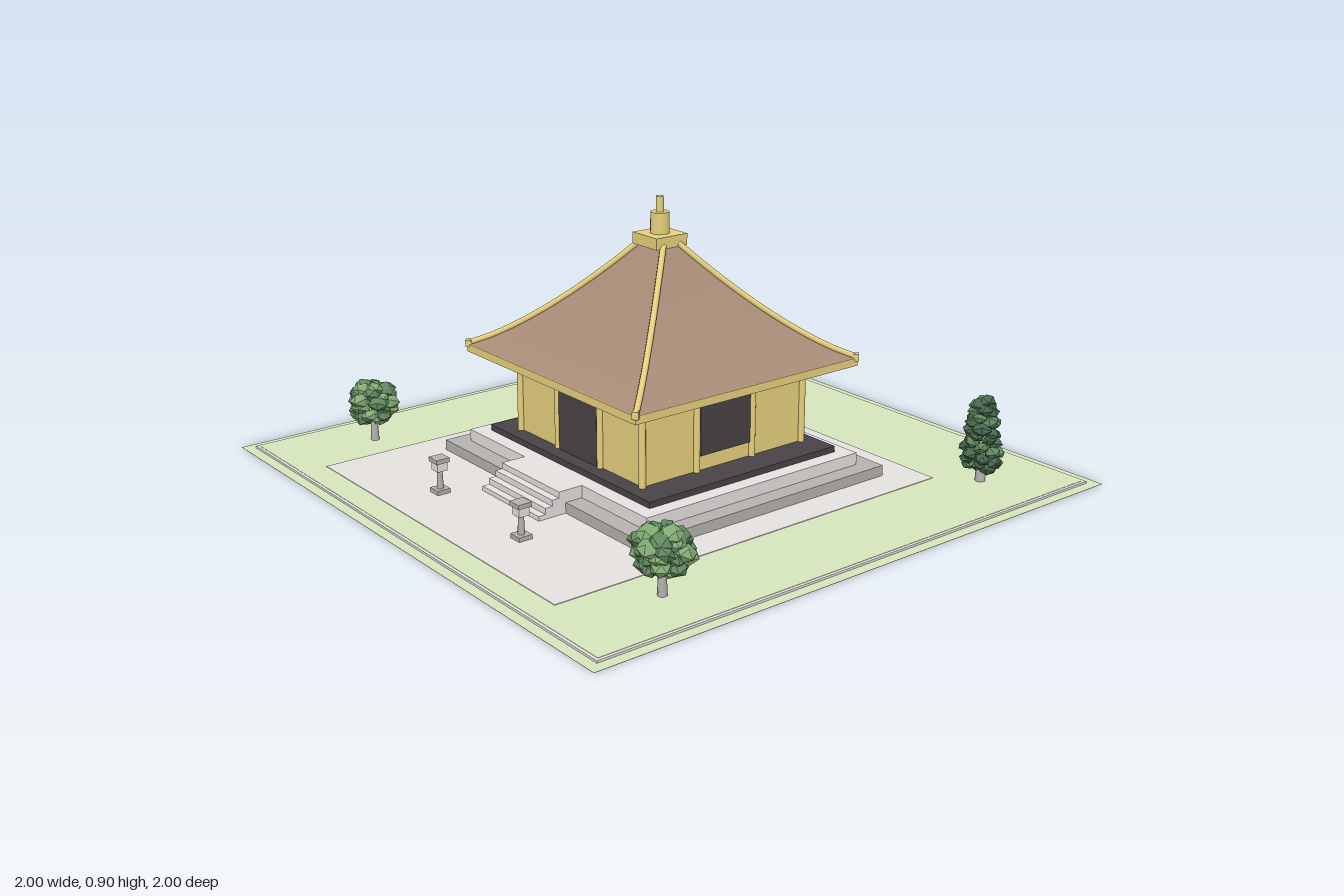
import * as THREE from 'three';
import { mergeGeometries } from 'three/addons/utils/BufferGeometryUtils.js';

const mat = (name, color, flat = false) => {
  const m = new THREE.MeshStandardMaterial({ color, flatShading: flat });
  m.name = name;
  return m;
};

function seeded(seed) {
  return () => {
    seed = (seed * 16807) % 2147483647;
    return seed / 2147483647;
  };
}

export function createModel() {
  const root = new THREE.Group();
  root.name = 'pavilionGarden';
  const grass = mat('grassGreen', 0xd6e6bc);
  const pale = mat('paleStone', 0xe5e2e0);
  const stone = mat('midStone', 0xb5b2af);
  const dark = mat('darkWood', 0x484346);
  const gold = mat('gold', 0xe8d27e);
  const roofMat = mat('roofBrown', 0xa88b78);
  const leafDark = mat('leafDark', 0x48694f, true);
  const leafMid = mat('leafMid', 0x5f895e, true);
  const leafLight = mat('leafLight', 0x82ab74, true);

  const add = (name, geo, m, x = 0, y = 0, z = 0, parent = root) => {
    const mesh = new THREE.Mesh(geo, m);
    mesh.name = name;
    mesh.position.set(x, y, z);
    parent.add(mesh);
    return mesh;
  };
  // Box given by its size in x and z, its bottom and its top
  const slab = (name, m, w, d, y0, y1, x = 0, z = 0, parent = root) =>
    add(name, new THREE.BoxGeometry(w, y1 - y0, d), m, x, (y0 + y1) / 2, z, parent);
  const drum = (name, m, r0, r1, y0, y1, x = 0, z = 0, parent = root, n = 16) =>
    add(name, new THREE.CylinderGeometry(r1, r0, y1 - y0, n), m, x, (y0 + y1) / 2, z, parent);

  // Ground: thin verge, pale kerb slab, raised lawn and paving
  slab('verge', grass, 2, 2, 0, 0.001);
  slab('kerb', pale, 1.93, 1.93, 0, 0.008);
  slab('lawn', grass, 1.91, 1.91, 0.002, 0.009);
  slab('paving', pale, 1.29, 1.47, 0.004, 0.011, 0, 0.135);

  // Stepped base and stairs
  slab('lowerPlinth', stone, 1.066, 0.972, 0.005, 0.046);
  slab('upperPlinth', pale, 0.95, 0.85, 0.046, 0.086);
  slab('floor', dark, 0.85, 0.75, 0.086, 0.106);
  for (let i = 0; i < 4; i++) {
    const z1 = 0.51 + i * 0.025;
    slab('stairStep', pale, 0.31, z1 - 0.4, 0.008, 0.086 - i * 0.02, 0, (z1 + 0.4) / 2);
  }

  // Walls, posts, beams and openings
  slab('walls', gold, 0.64, 0.64, 0.106, 0.37);
  const sides = [0, 1, 2, 3];
  for (const k of sides) {
    const side = new THREE.Group();
    side.name = 'wallSide';
    side.rotation.y = k * Math.PI / 2;
    root.add(side);
    for (const x of [-0.323, -0.112, 0.112])
      drum('post', gold, 0.011, 0.011, 0.106, 0.37, x, 0.323, side, 12);
    slab('wallBeam', gold, 0.65, 0.012, 0.358, 0.37, 0, 0.32, side);
    if (k === 0) slab('door', dark, 0.2, 0.009, 0.106, 0.347, 0, 0.324, side);
    if (k % 2 === 1) slab('window', dark, 0.2, 0.009, 0.155, 0.335, 0, 0.324, side);
  }

  // Sweeping roof: four curved faces rising from the eaves
  slab('eaves', gold, 0.894, 0.886, 0.368, 0.394);
  const rows = 8;
  const corners = [[-1, 1], [1, 1], [1, -1], [-1, -1]];
  const hipPoint = (c, t, lift = 0) => new THREE.Vector3(
    c[0] * THREE.MathUtils.lerp(0.445, 0.055, t),
    0.393 + 0.357 * (0.4 * t + 0.6 * t ** 1.6) + lift,
    c[1] * THREE.MathUtils.lerp(0.441, 0.03, t));
  const faces = sides.map((k) => {
    const pos = [], idx = [];
    for (let i = 0; i <= rows; i++) {
      pos.push(...hipPoint(corners[k], i / rows).toArray());
      pos.push(...hipPoint(corners[(k + 1) % 4], i / rows).toArray());
      const a = i * 2;
      if (i < rows) idx.push(a, a + 1, a + 3, a, a + 3, a + 2);
    }
    const g = new THREE.BufferGeometry();
    g.setAttribute('position', new THREE.Float32BufferAttribute(pos, 3));
    g.setIndex(idx);
    g.computeVertexNormals();
    return g;
  });
  add('roof', mergeGeometries(faces), roofMat);
  for (const c of corners) {
    const pts = [];
    for (let i = 0; i <= rows; i++) pts.push(hipPoint(c, i / rows, 0.004));
    const curve = new THREE.CatmullRomCurve3(pts);
    add('hipRidge', new THREE.TubeGeometry(curve, 16, 0.01, 8), gold);
    const end = slab('ridgeEnd', gold, 0.02, 0.02, 0.385, 0.408, c[0] * 0.443, c[1] * 0.439);
    end.rotation.y = Math.PI / 4;
  }

  // Roof cap and finial
  slab('roofCap', gold, 0.122, 0.122, 0.745, 0.782);
  drum('finialBase', gold, 0.031, 0.03, 0.782, 0.85);
  drum('finialTip', gold, 0.013, 0.012, 0.85, 0.9);

  // Stone lanterns
  for (const s of [-1, 1]) {
    const lantern = new THREE.Group();
    lantern.name = 'lantern';
    lantern.position.set(s * 0.226, 0, 0.695);
    root.add(lantern);
    slab('lanternFoot', stone, 0.046, 0.046, 0.008, 0.025, 0, 0, lantern);
    drum('lanternStem', stone, 0.011, 0.009, 0.025, 0.085, 0, 0, lantern, 8);
    slab('lanternBox', pale, 0.036, 0.036, 0.085, 0.113, 0, 0, lantern);
    slab('lanternRoof', stone, 0.047, 0.047, 0.113, 0.127, 0, 0, lantern);
  }

  // Leafy crown made from faceted clumps spread over a radius profile
  const crown = (parent, seed, count, y0, y1, radius, size, colours) => {
    const rnd = seeded(seed);
    const sets = new Map(colours.map((c) => [c, []]));
    for (let i = 0; i < count; i++) {
      const t = (i + 0.5) / count;
      const a = i * 2.4 + rnd() * 0.6;
      const r = radius(t) * (0.75 + 0.3 * rnd());
      const g = new THREE.IcosahedronGeometry(size * (0.75 + 0.5 * rnd()), 0);
      g.scale(1, 0.65, 0.9);
      g.rotateX(rnd() * 1.2 - 0.6);
      g.rotateY(rnd() * 6);
      g.translate(r * Math.cos(a), y0 + (y1 - y0) * t, r * Math.sin(a));
      sets.get(colours[i % colours.length]).push(g);
    }
    for (const [colour, clumps] of sets) add('foliage', mergeGeometries(clumps), colour, 0, 0, 0, parent);
  };
  const tree = (name, x, z) => {
    const g = new THREE.Group();
    g.name = name;
    g.position.set(x, 0, z);
    root.add(g);
    return g;
  };

  // Tall dark trees at the back
  [[-0.735, -0.715], [0.75, -0.705]].forEach(([x, z], i) => {
    const t = tree('tallTree', x, z);
    drum('trunk', stone, 0.017, 0.008, 0.005, 0.24, 0, 0, t, 8);
    crown(t, 71 + i * 90, 48, 0.055, 0.278, (u) => 0.006 + 0.052 * (1 - u) ** 0.6 * Math.min(1, 0.65 + 2 * u),
      0.029, [leafDark, leafMid, leafDark]);
  });

  // Low spreading trees at the front
  [[-0.772, 0.62], [0.775, 0.605]].forEach(([x, z], i) => {
    const t = tree('roundTree', x, z);
    drum('trunk', stone, 0.015, 0.01, 0.005, 0.12, 0, 0, t, 8);
    for (const s of [-1, 1]) {
      const limb = drum('limb', stone, 0.006, 0.005, 0.055, 0.13, s * 0.022, 0, t, 6);
      limb.rotation.z = -s * 0.6;
    }
    crown(t, 233 + i * 57, 36, 0.092, 0.203, (u) => 0.07 * Math.sqrt(1 - (1.7 * u - 0.75) ** 2),
      0.034, [leafLight, leafMid]);
  });
  return root;
}
